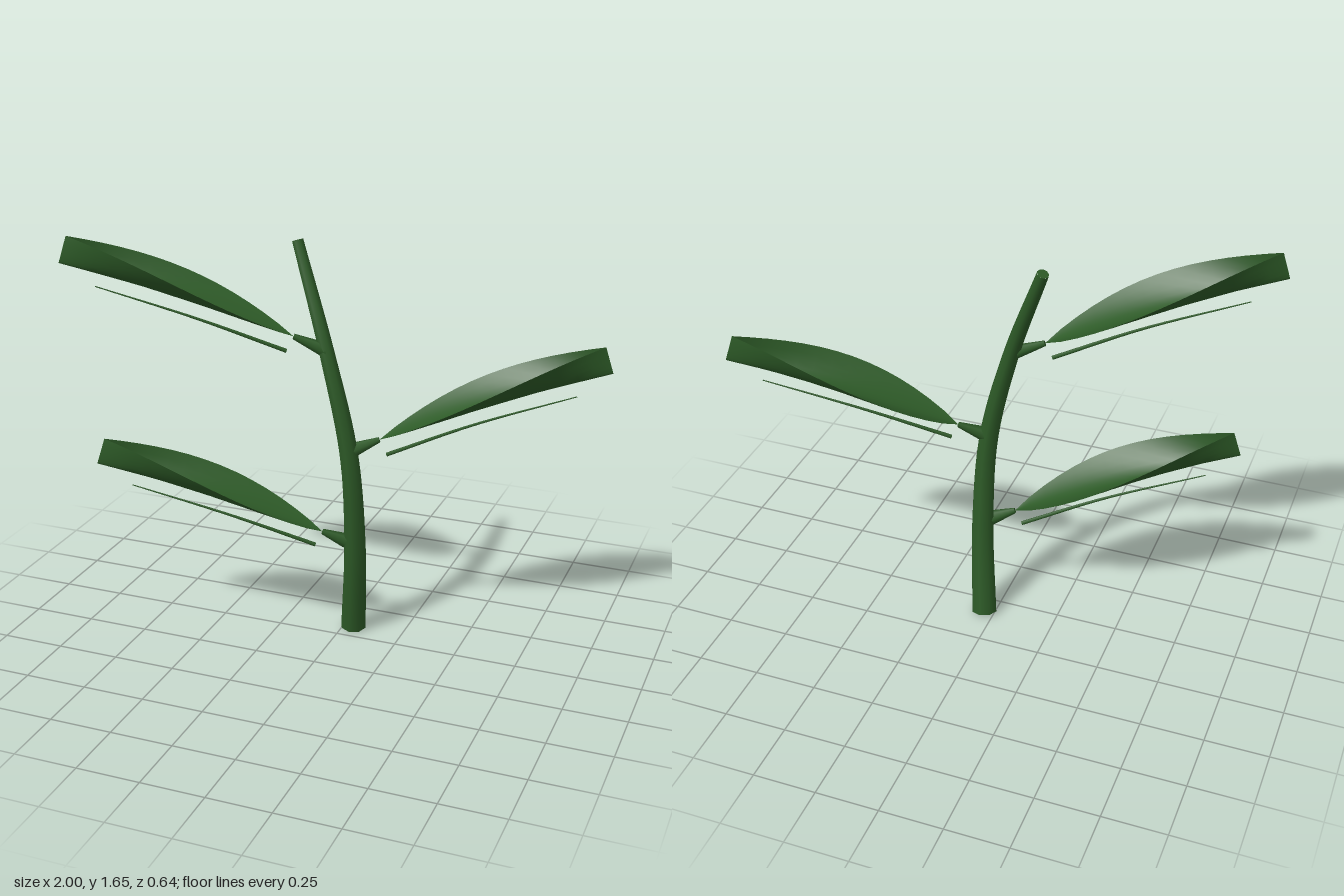
import * as THREE from 'three';

const V = (x, y, z) => new THREE.Vector3(x, y, z);

// Round tube along a curve whose radius runs from r0 to r1, with closed ends
function taperTube(name, points, r0, r1, segs, sides, material) {
  const curve = new THREE.CatmullRomCurve3(points);
  const geo = new THREE.TubeGeometry(curve, segs, 1, sides, false);
  const pos = geo.attributes.position, p = V(0, 0, 0);
  for (let i = 0; i < pos.count; i++) {
    const t = Math.floor(i / (sides + 1)) / segs;
    const c = curve.getPointAt(t);
    p.fromBufferAttribute(pos, i).sub(c).multiplyScalar(r0 + (r1 - r0) * t).add(c);
    pos.setXYZ(i, p.x, p.y, p.z);
  }
  const group = new THREE.Group();
  group.name = name;
  group.add(new THREE.Mesh(geo, material));
  for (const [t, r, dir] of [[0, r0, -1], [1, r1, 1]]) {
    const cap = new THREE.Mesh(new THREE.CircleGeometry(r, sides), material);
    cap.position.copy(curve.getPointAt(t));
    cap.quaternion.setFromUnitVectors(V(0, 0, 1), curve.getTangentAt(t).multiplyScalar(dir));
    group.add(cap);
  }
  return group;
}

// Trough-shaped blade: pointed at the base, wide in the middle, folded shut at the tip
function bladeGeometry(base, span) {
  const rows = 14, cols = 10;
  const along = span.clone().normalize();
  const side = along.clone().cross(V(0, 1, 0)).normalize();
  const up = side.clone().cross(along);
  const geo = new THREE.PlaneGeometry(1, 1, cols, rows);
  const pos = geo.attributes.position;
  for (let i = 0; i < pos.count; i++) {
    const s = pos.getX(i) * 2, t = pos.getY(i) + 0.5;
    const width = 0.135 * Math.sin(Math.PI * Math.pow(t, 0.82));
    const depth = 0.11 * Math.sin(Math.PI / 2 * t);
    const p = base.clone().addScaledVector(span, t)
      .addScaledVector(side, width * s)
      .addScaledVector(up, depth * Math.pow(Math.abs(s), 1.6) + 0.012 * Math.sin(Math.PI * t));
    pos.setXYZ(i, p.x, p.y, p.z);
  }
  geo.computeVertexNormals();
  return geo;
}

export function createModel() {
  const model = new THREE.Group();
  model.name = 'leafyStem';
  const stemGreen = new THREE.MeshStandardMaterial({ color: 0x2d5a27 });
  stemGreen.name = 'stemGreen';
  const leafGreen = new THREE.MeshStandardMaterial({ color: 0x2d5a27, side: THREE.DoubleSide });
  leafGreen.name = 'leafGreen';

  // Curved main stem
  model.add(taperTube('stem', [
    V(0.043, 0.008, -0.08), V(0.07, 0.4, -0.02), V(0.055, 0.8, 0.012),
    V(-0.04, 1.2, 0), V(-0.19, 1.61, -0.08),
  ], 0.053, 0.023, 32, 8, stemGreen));

  // Alternate leaves: direction, blade base and the point where the stalk joins the stem
  const leaves = [
    ['lowerLeaf', -1, V(-0.05, 0.463, 0.03), V(0.04, 0.425, 0)],
    ['middleLeaf', 1, V(0.165, 0.863, -0.03), V(0.07, 0.82, 0.005)],
    ['upperLeaf', -1, V(-0.165, 1.262, 0.03), V(-0.04, 1.21, 0)],
  ];
  for (const [name, dir, base, joint] of leaves) {
    const leaf = new THREE.Group();
    leaf.name = name;
    const blade = new THREE.Mesh(bladeGeometry(base, V(0.835 * dir, 0.28, -0.29 * dir)), leafGreen);
    blade.name = 'blade';
    leaf.add(blade);

    // Short stalk
    leaf.add(taperTube('stalk', [joint, base], 0.03, 0.011, 4, 6, stemGreen));

    // Thin rib hanging under the blade
    const rib = [[0.028, -0.06, -0.005], [0.34, 0.065, -0.12], [0.712, 0.188, -0.24]]
      .map(([x, y, z]) => V(x * dir, y, z * dir).add(base));
    leaf.add(taperTube('rib', rib, 0.008, 0.002, 12, 6, stemGreen));
    model.add(leaf);
  }
  return model;
}
